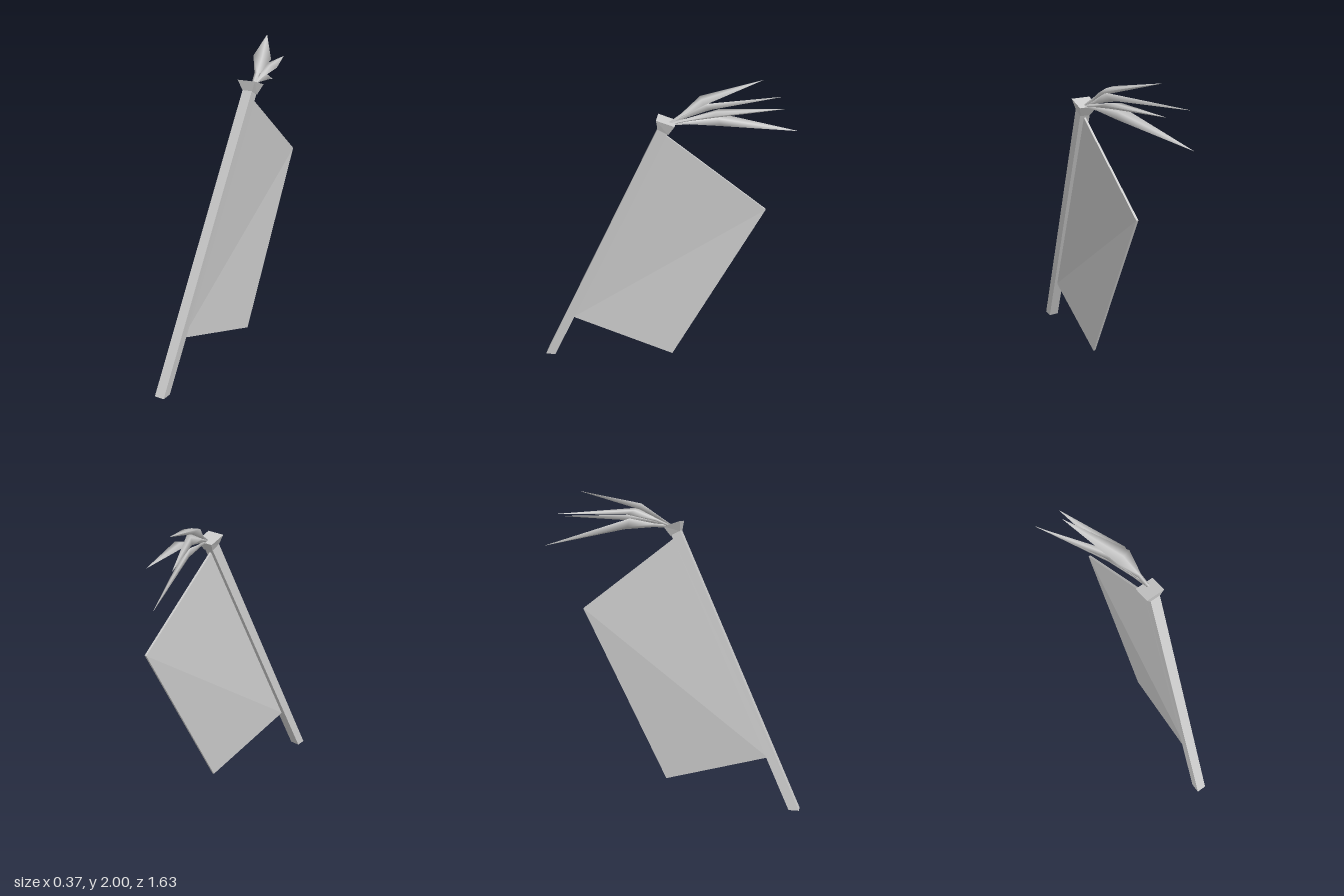
import * as THREE from 'three';

const V = (x, y, z) => new THREE.Vector3(x, y, z);

// Skins four-cornered cross-sections and closes both ends
function loft(name, rings, smooth = false) {
  const index = [];
  for (let i = 0; i < rings.length - 1; i++) {
    for (let k = 0; k < 4; k++) {
      const a = i * 4 + k, b = i * 4 + (k + 1) % 4;
      index.push(a, b, a + 4, b, b + 4, a + 4);
    }
  }
  const e = (rings.length - 1) * 4;
  index.push(0, 2, 1, 0, 3, 2, e, e + 1, e + 2, e, e + 2, e + 3);
  let geo = new THREE.BufferGeometry().setFromPoints(rings.flat());
  geo.setIndex(index);
  if (!smooth) geo = geo.toNonIndexed();
  geo.computeVertexNormals();
  const mesh = new THREE.Mesh(geo, new THREE.MeshStandardMaterial({
    color: 0xcccccc, flatShading: !smooth, side: THREE.DoubleSide,
  }));
  mesh.name = name;
  return mesh;
}

// Rectangle in plan, with its front and back edges at their own heights
const rect = (x0, x1, front, back, yFront, yBack) => [
  V(x0, yFront, front), V(x1, yFront, front), V(x1, yBack, back), V(x0, yBack, back),
];

// Leaf blade: thin stem, widest between corners left and right, sharp tip
function feather(left, right, tip) {
  const base = V(0.135, 1.78, -0.045);
  const mid = left.clone().add(right).multiplyScalar(0.5);
  const half = right.clone().sub(left).multiplyScalar(0.5);
  const up = half.clone().cross(tip.clone().sub(base)).normalize();
  const side = half.clone().normalize();
  const ring = (c, w, top, keel) => [
    c.clone().addScaledVector(side, -w), c.clone().addScaledVector(up, top),
    c.clone().addScaledVector(side, w), c.clone().addScaledVector(up, -keel),
  ];
  return loft('feather', [
    ring(base, 0.012, 0.008, 0.008),
    ring(base.clone().lerp(mid, 0.4), 0.016, 0.008, 0.012),
    ring(mid, half.length(), 0.006, 0.03),
    ring(tip, 0.001, 0.001, 0.001),
  ], true);
}

export function createModel() {
  const model = new THREE.Group();
  model.name = 'bannerPole';

  // Leaning square pole
  model.add(loft('pole', [
    rect(-0.04, 0.025, 0.82, 0.755, 0, 0),
    rect(0.097, 0.162, 0.015, -0.047, 1.76, 1.74),
  ]));

  // Flared cap
  model.add(loft('cap', [
    rect(0.097, 0.162, 0.018, -0.045, 1.75, 1.72),
    rect(0.066, 0.185, 0.025, -0.085, 1.815, 1.78),
  ]));

  // Slightly twisted cloth panel
  const corners = [[0.022, 0.32, 0.61], [0.085, 0.12, -0.07], [0.107, 1.24, -0.64], [0.125, 1.71, -0.02]];
  model.add(loft('flag', [-0.007, 0.007].map((t) => corners.map(([x, y, z]) => V(x + t, y, z)))));

  // Plume sweeping backwards from the cap
  const plume = new THREE.Group();
  plume.name = 'plume';
  plume.add(
    feather(V(0.035, 1.925, -0.22), V(0.145, 1.905, -0.25), V(-0.07, 2.0, -0.585)),
    feather(V(0.02, 1.855, -0.31), V(0.11, 1.9, -0.24), V(-0.185, 1.86, -0.70)),
    feather(V(0.04, 1.83, -0.3), V(0.085, 1.76, -0.35), V(-0.145, 1.66, -0.81)),
    feather(V(0.045, 1.85, -0.33), V(0.155, 1.845, -0.31), V(-0.015, 1.845, -0.72)),
  );
  model.add(plume);
  return model;
}
